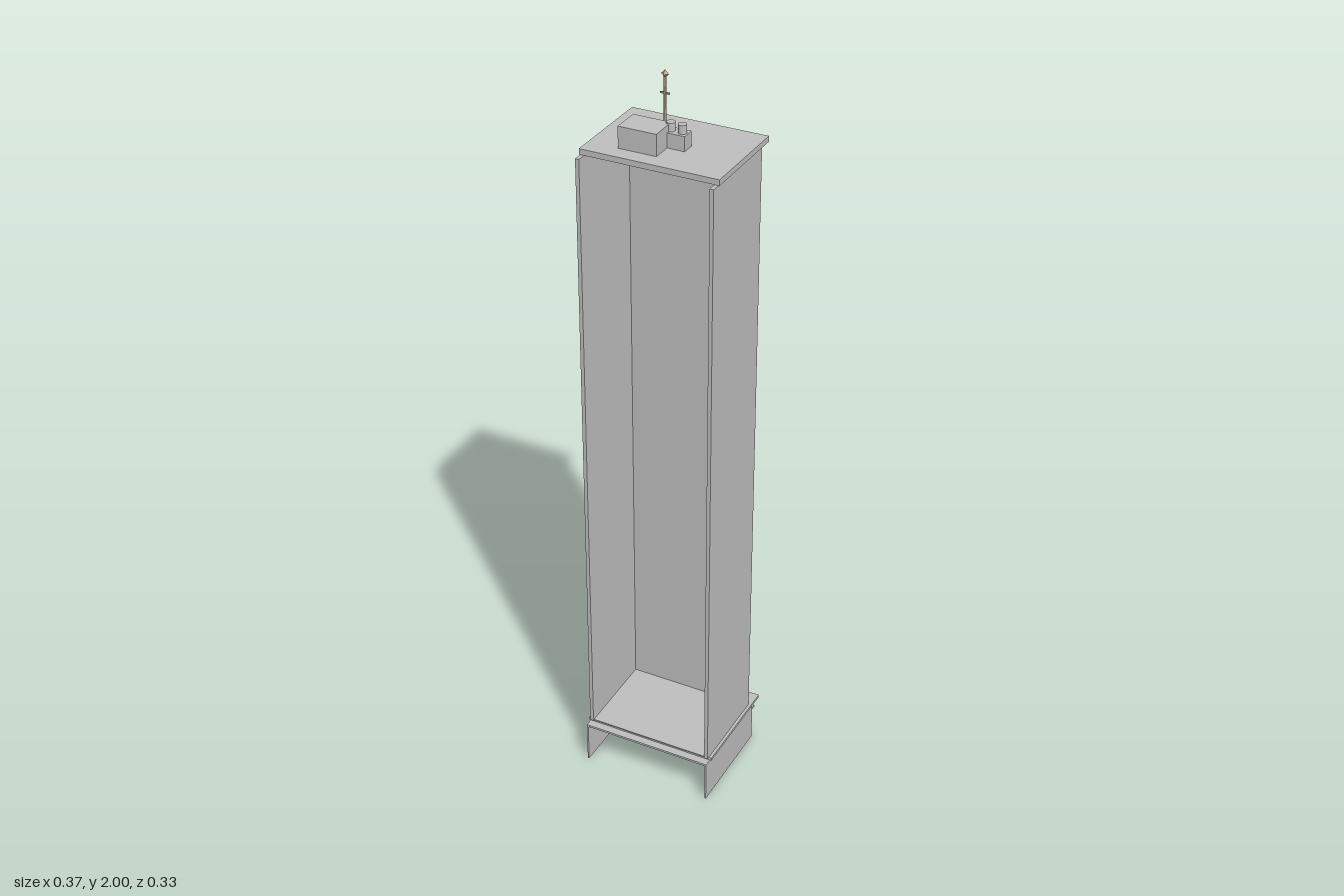
import * as THREE from 'three';

const mat = (name, color) => {
  const m = new THREE.MeshStandardMaterial({ color });
  m.name = name;
  return m;
};

export function createModel() {
  const root = new THREE.Group();
  root.name = 'towerBuilding';
  const grey = mat('concreteGrey', 0xc0c0c0);
  const yellow = mat('signYellow', 0xd4b646);
  const brown = mat('entranceBrown', 0xb8987a);
  const tan = mat('mastTan', 0xb49c7c);

  const add = (name, geo, material, x = 0, y = 0, z = 0) => {
    const mesh = new THREE.Mesh(geo, material);
    mesh.name = name;
    mesh.position.set(x, y, z);
    root.add(mesh);
    return mesh;
  };
  // box given by its lower and upper limits on each axis
  const box = (name, material, x0, x1, y0, y1, z0, z1) =>
    add(name, new THREE.BoxGeometry(x1 - x0, y1 - y0, z1 - z0), material,
      (x0 + x1) / 2, (y0 + y1) / 2, (z0 + z1) / 2);

  // street level: back wall, two side walls, open underside and front
  box('baseBackWall', grey, -0.178, 0.178, 0, 0.118, -0.12, -0.114);
  box('baseCeiling', grey, -0.178, 0.178, 0.114, 0.12, -0.114, 0.167);
  box('floorSlab', grey, -0.187, 0.187, 0.12, 0.128, -0.153, 0.145);
  box('towerFloor', grey, -0.169, 0.169, 0.128, 0.131, -0.1, 0.15);

  // tower shell, open at the front
  box('towerBackWall', grey, -0.169, 0.169, 0.128, 1.815, -0.102, -0.094);
  for (const s of [-1, 1]) {
    const side = (name, a, b, ...rest) =>
      box(name, grey, Math.min(s * a, s * b), Math.max(s * a, s * b), ...rest);
    side('baseSideWall', 0.178, 0.182, 0, 0.12, -0.122, 0.167);
    side('towerSideWall', 0.169, 0.179, 0.128, 1.815, -0.104, 0.153);
    side('awningPost', 0.157, 0.161, 0, 0.08, -0.152, -0.148);
  }

  // entrance at the back
  box('awning', grey, -0.173, 0.173, 0.079, 0.084, -0.156, -0.12);
  box('entrancePanel', brown, -0.13, 0.14, 0.004, 0.07, -0.123, -0.12);

  // vertical sign on the back corner
  box('signBoard', grey, -0.174, -0.163, 0.165, 0.45, -0.168, -0.106);
  box('signFace', yellow, -0.163, -0.154, 0.175, 0.445, -0.164, -0.11);

  // roof and rooftop plant
  box('roofSlab', grey, -0.182, 0.182, 1.815, 1.83, -0.135, 0.129);
  box('penthouse', grey, -0.102, -0.001, 1.83, 1.886, 0.01, 0.086);
  box('coolingUnit', grey, -0.016, 0.045, 1.83, 1.868, -0.003, 0.033);
  for (const x of [0, 0.03])
    add('vent', new THREE.CylinderGeometry(0.011, 0.011, 0.022, 20), grey, x, 1.879, 0.015);

  // antenna mast
  add('mast', new THREE.CylinderGeometry(0.003, 0.004, 0.16, 6), tan, -0.032, 1.91, -0.018);
  box('mastCrossbar', tan, -0.044, -0.02, 1.94, 1.944, -0.02, -0.016);
  add('mastTip', new THREE.OctahedronGeometry(0.01), tan, -0.032, 1.99, -0.018);
  return root;
}
